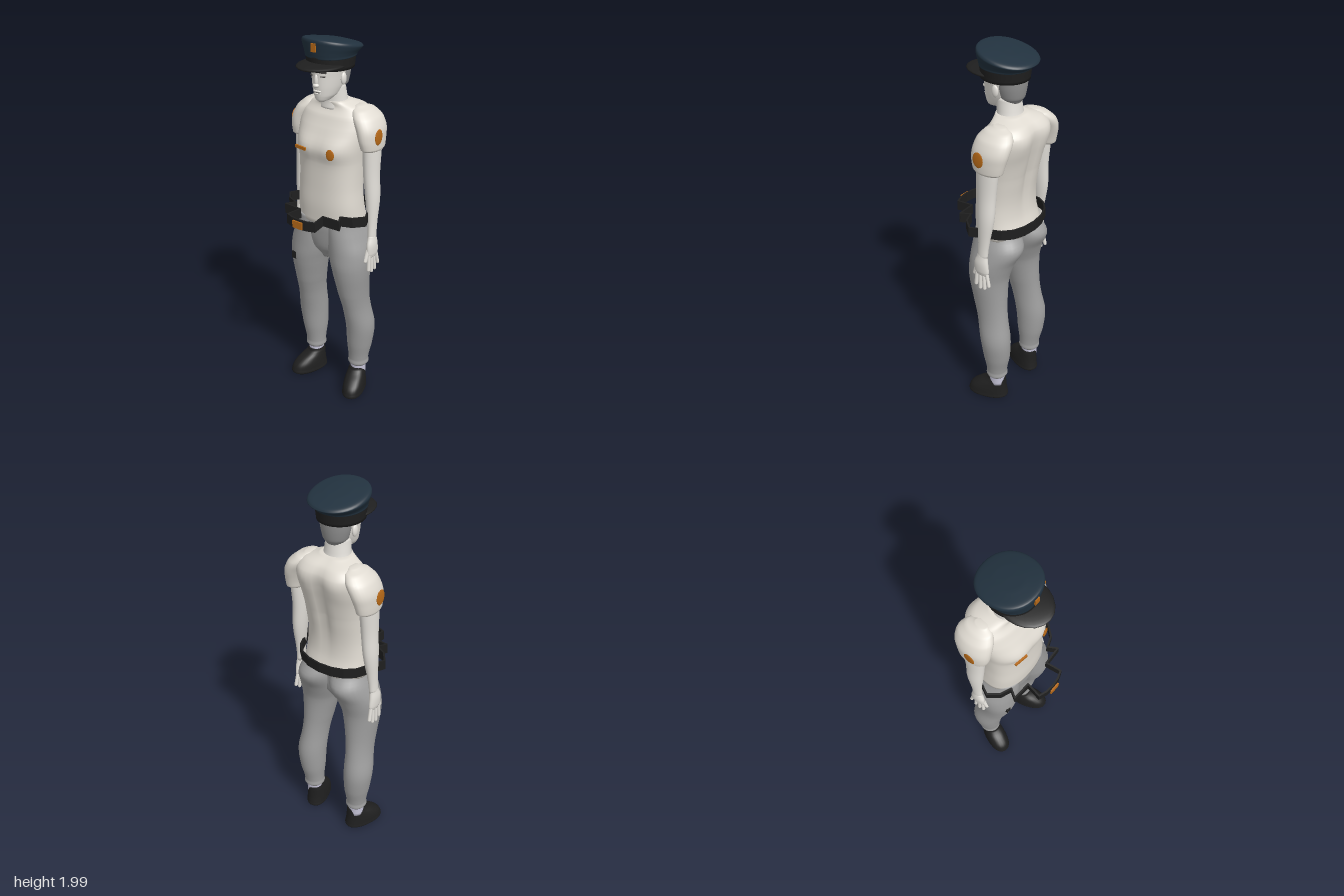
import * as THREE from 'three';

const mat = (name, color) => {
  const m = new THREE.MeshStandardMaterial({ color });
  m.name = name;
  return m;
};

// Smooth interpolation through four neighbouring values
const cubic = (a, b, c, d, t) =>
  b + 0.5 * t * (c - a + t * (2 * a - 5 * b + 4 * c - d + t * (3 * (b - c) + d - a)));

// Solid skin over horizontal sections [y, centreX, centreZ, radiusX, radiusZ], listed upwards
function loft(rings, { segs = 28, steps = 5, power = 2, bend } = {}) {
  const rows = [];
  for (let i = 0; i < rings.length - 1; i++) {
    const q = [-1, 0, 1, 2].map(k => rings[Math.min(Math.max(i + k, 0), rings.length - 1)]);
    for (let s = 0; s < steps; s++) {
      rows.push(q[0].map((_, k) => k === 0
        ? q[1][0] + (q[2][0] - q[1][0]) * s / steps
        : cubic(q[0][k], q[1][k], q[2][k], q[3][k], s / steps)));
    }
  }
  rows.push(rings[rings.length - 1]);
  const pos = [], idx = [];
  const put = (x, y, z) => pos.push(...(bend ? bend(x, y, z) : [x, y, z]));
  const round = v => Math.sign(v) * Math.abs(v) ** (2 / power);
  for (const [y, cx, cz, rx, rz] of rows) {
    for (let j = 0; j < segs; j++) {
      const a = j / segs * Math.PI * 2;
      put(cx + rx * round(Math.cos(a)), y, cz + rz * round(Math.sin(a)));
    }
  }
  const last = rows.length - 1, bottom = rows.length * segs, top = bottom + 1;
  put(rows[0][1], rows[0][0], rows[0][2]);
  put(rows[last][1], rows[last][0], rows[last][2]);
  for (let j = 0; j < segs; j++) {
    const k = (j + 1) % segs;
    for (let i = 0; i < last; i++) {
      const a = i * segs + j, b = i * segs + k;
      idx.push(a, a + segs, b, b, a + segs, b + segs);
    }
    idx.push(bottom, j, k, top, last * segs + k, last * segs + j);
  }
  const g = new THREE.BufferGeometry();
  g.setAttribute('position', new THREE.Float32BufferAttribute(pos, 3));
  g.setIndex(idx);
  g.computeVertexNormals();
  return g;
}

export function createModel() {
  const model = new THREE.Group();
  model.name = 'uniformedMan';
  const skin = mat('skin', 0xe3e0da), shirt = mat('shirt', 0xe0dbd2), trousers = mat('trousers', 0x9e9e9e);
  const black = mat('blackLeather', 0x1f1f1f), navy = mat('navyCloth', 0x22323f), brass = mat('brass', 0xb86a18);
  const sock = mat('sock', 0xc4c2d6), hair = mat('hair', 0x909090), dark = mat('brow', 0x4a4846);

  const add = (name, geo, material, x = 0, y = 0, z = 0, parent = model) => {
    const m = new THREE.Mesh(geo, material);
    m.name = name;
    m.position.set(x, y, z);
    parent.add(m);
    return m;
  };
  const ball = (name, material, p, s, parent) => {
    const m = add(name, new THREE.SphereGeometry(1, 20, 14), material, ...p, parent);
    m.scale.set(...s);
    return m;
  };
  const box = (name, material, p, s) => add(name, new THREE.BoxGeometry(...s), material, ...p);

  // Torso, with chest muscles and a spine groove
  add('shirtBody', loft([
    [1.05, 0, -0.065, 0.183, 0.132], [1.15, 0, -0.05, 0.177, 0.122], [1.25, 0, -0.05, 0.17, 0.12],
    [1.38, 0, -0.06, 0.173, 0.13], [1.46, 0, -0.065, 0.182, 0.142], [1.55, 0, -0.09, 0.192, 0.13],
    [1.61, 0, -0.105, 0.185, 0.115], [1.65, 0, -0.105, 0.145, 0.09], [1.68, 0, -0.075, 0.072, 0.066],
  ], {
    segs: 48, power: 2.4, bend: (x, y, z) => {
      const blob = (cx, cy, w, h) => Math.exp(-(((Math.abs(x) - cx) / w) ** 2) - ((y - cy) / h) ** 2);
      if (z > -0.03) z += 0.012 * blob(0.085, 1.46, 0.06, 0.06);
      else if (z < -0.08) z += 0.022 * blob(0, 1.42, 0.03, 0.2) - 0.016 * blob(0.1, 1.58, 0.06, 0.08);
      return [x, y, z];
    },
  }), shirt);

  // Pelvis joining the legs
  add('trouserFront', loft([
    [0.83, 0, -0.045, 0.03, 0.05], [0.9, 0, -0.045, 0.11, 0.09],
    [1.0, 0, -0.045, 0.17, 0.105], [1.07, 0, -0.05, 0.177, 0.112],
  ]), trousers);

  for (const [side, s] of [['left', 1], ['right', -1]]) {
    const sided = rings => rings.map(([y, x, ...rest]) => [y, x * s, ...rest]);

    // Legs
    add(side + 'TrouserLeg', loft(sided([
      [0.155, 0.15, -0.108, 0.046, 0.046], [0.17, 0.15, -0.108, 0.057, 0.058], [0.2, 0.15, -0.108, 0.055, 0.056],
      [0.3, 0.155, -0.11, 0.068, 0.074], [0.42, 0.16, -0.105, 0.076, 0.085], [0.55, 0.15, -0.08, 0.07, 0.087],
      [0.65, 0.142, -0.06, 0.078, 0.095], [0.8, 0.133, -0.045, 0.1, 0.108], [0.9, 0.118, -0.058, 0.114, 0.123],
      [0.99, 0.1, -0.078, 0.106, 0.141], [1.07, 0.083, -0.06, 0.096, 0.118],
    ])), trousers);
    add(side + 'Sock', loft(sided([[0.1, 0.15, -0.108, 0.042, 0.044], [0.18, 0.15, -0.108, 0.042, 0.044]])), sock);

    // Shoes, toes turned out
    const shoe = add(side + 'Shoe', loft([
      [0, 0, 0, 0.05, 0.098], [0.012, 0, 0, 0.06, 0.112], [0.03, 0, 0, 0.059, 0.11], [0.06, 0, -0.005, 0.057, 0.1],
      [0.09, 0, -0.022, 0.052, 0.08], [0.12, 0, -0.045, 0.045, 0.055], [0.138, 0, -0.05, 0.04, 0.048],
    ], { power: 2.3 }), black, 0.162 * s, 0, -0.057);
    shoe.rotation.y = 0.35 * s;

    // Sleeves and arms
    add(side + 'Sleeve', loft(sided([
      [1.455, 0.211, -0.103, 0.042, 0.07], [1.465, 0.211, -0.103, 0.046, 0.083], [1.51, 0.206, -0.103, 0.052, 0.094],
      [1.56, 0.195, -0.108, 0.059, 0.1], [1.61, 0.17, -0.112, 0.06, 0.095],
      [1.645, 0.145, -0.112, 0.045, 0.07], [1.662, 0.13, -0.11, 0.02, 0.03],
    ])), shirt);
    add(side + 'Arm', loft(sided([
      [0.98, 0.234, -0.085, 0.019, 0.029], [1.06, 0.23, -0.09, 0.022, 0.031], [1.2, 0.222, -0.098, 0.034, 0.045],
      [1.33, 0.212, -0.097, 0.038, 0.05], [1.48, 0.21, -0.1, 0.041, 0.06],
    ])), skin);

    // Hands
    add(side + 'Palm', loft(sided([
      [0.88, 0.24, -0.083, 0.012, 0.036], [0.9, 0.24, -0.083, 0.017, 0.043],
      [0.95, 0.239, -0.08, 0.02, 0.04], [1.0, 0.234, -0.085, 0.018, 0.027],
    ])), skin);
    const finger = (name, from, to, r) => {
      const a = new THREE.Vector3(...from), d = new THREE.Vector3(...to).sub(a);
      const m = add(name, new THREE.CapsuleGeometry(r, d.length(), 4, 10), skin, ...a.clone().addScaledVector(d, 0.5));
      m.quaternion.setFromUnitVectors(new THREE.Vector3(0, 1, 0), d.normalize());
    };
    for (let i = 0; i < 4; i++) {
      finger(side + 'Finger' + (i + 1), [0.24 * s, 0.895, -0.053 - 0.02 * i],
        [0.243 * s, [0.81, 0.795, 0.8, 0.825][i], -0.048 - 0.027 * i], 0.0095);
    }
    finger(side + 'Thumb', [0.236 * s, 0.94, -0.055], [0.232 * s, 0.865, -0.032], 0.011);

    // Shoulder patch
    ball(side + 'ShoulderPatch', brass, [0.258 * s, 1.53, -0.082], [0.005, 0.04, 0.03]);

    // Ears, eyes and brows
    ball(side + 'Ear', skin, [0.077 * s, 1.795, -0.04], [0.011, 0.03, 0.018]);
    const brow = box(side + 'Brow', dark, [0.032 * s, 1.836, 0.063], [0.034, 0.005, 0.008]);
    brow.rotation.y = 0.3 * s;
    const eye = box(side + 'Eye', dark, [0.032 * s, 1.817, 0.062], [0.022, 0.004, 0.008]);
    eye.rotation.y = 0.3 * s;
  }

  // Neck and head
  add('neck', loft([[1.64, 0, -0.075, 0.08, 0.07], [1.68, 0, -0.07, 0.068, 0.062], [1.76, 0, -0.06, 0.06, 0.06]]), skin);
  add('head', loft([
    [1.687, 0, 0.028, 0.016, 0.018], [1.697, 0, 0.012, 0.034, 0.046], [1.72, 0, -0.008, 0.052, 0.072],
    [1.76, 0, -0.025, 0.065, 0.094], [1.81, 0, -0.033, 0.074, 0.104], [1.86, 0, -0.037, 0.08, 0.11], [1.9, 0, -0.04, 0.07, 0.1],
  ]), skin);
  ball('noseBridge', skin, [0, 1.797, 0.069], [0.009, 0.032, 0.012]);
  ball('noseTip', skin, [0, 1.773, 0.073], [0.016, 0.011, 0.014]);
  ball('upperLip', skin, [0, 1.744, 0.064], [0.023, 0.006, 0.009]);
  ball('lowerLip', skin, [0, 1.732, 0.062], [0.02, 0.006, 0.009]);
  box('mouthLine', dark, [0, 1.738, 0.066], [0.032, 0.002, 0.008]);
  add('hairBack', loft([
    [1.735, 0, -0.08, 0.045, 0.045], [1.76, 0, -0.08, 0.062, 0.062],
    [1.81, 0, -0.078, 0.074, 0.073], [1.87, 0, -0.078, 0.079, 0.077],
  ]), hair);

  // Peaked cap, crown tilted up at the front
  add('capBand', loft([[1.845, 0, -0.04, 0.112, 0.12], [1.915, 0, -0.042, 0.118, 0.125]], { segs: 40 }), black);
  add('capCrown', loft([
    [1.9, 0, -0.043, 0.118, 0.125], [1.915, 0, -0.045, 0.122, 0.13], [1.945, 0, -0.053, 0.138, 0.143],
    [1.958, 0, -0.054, 0.138, 0.144], [1.968, 0, -0.054, 0.122, 0.13], [1.977, 0, -0.054, 0.06, 0.07],
    [1.979, 0, -0.054, 0.01, 0.01],
  ], { segs: 40, power: 2.15, bend: (x, y, z) => [x, y + (z + 0.054) * 0.2 * Math.min(1, (y - 1.9) / 0.06), z] }), navy);
  ball('capVisor', black, [0, 1.865, 0.025], [0.113, 0.018, 0.141]);
  box('capBadge', brass, [0, 1.955, 0.091], [0.026, 0.04, 0.009]);

  // Chest badge and bar
  const badge = ball('chestBadge', brass, [0.09, 1.447, 0.082], [0.022, 0.029, 0.005]);
  badge.rotation.y = 0.2;
  const bar = box('chestBar', brass, [-0.09, 1.447, 0.084], [0.072, 0.015, 0.009]);
  bar.rotation.y = -0.15;

  // Belt: straight strips along a stiff folded path [x, z], mirrored
  const half = [[0, 0.215], [0.045, 0.21], [0.085, 0.196], [0.073, 0.115], [0.17, 0.11], [0.143, 0.065],
    [0.2, 0.042], [0.243, -0.01], [0.205, -0.09], [0.175, -0.155], [0.13, -0.195], [0.07, -0.218], [0, -0.226]];
  const belt = new THREE.Group();
  belt.name = 'belt';
  model.add(belt);
  for (const s of [1, -1]) {
    for (let i = 0; i < half.length - 1; i++) {
      const [x0, z0] = half[i], [x1, z1] = half[i + 1];
      const strip = add('beltStrip', new THREE.BoxGeometry(Math.hypot(x1 - x0, z1 - z0) + 0.006, 0.052, 0.009), black,
        s * (x0 + x1) / 2, 1.104, (z0 + z1) / 2, belt);
      strip.rotation.y = -s * Math.atan2(z1 - z0, x1 - x0);
    }
  }
  box('beltBuckle', brass, [0, 1.104, 0.226], [0.058, 0.038, 0.008]);

  // Small pouch on the right thigh
  box('thighPouch', black, [-0.165, 0.81, 0.048], [0.026, 0.04, 0.03]);

  return model;
}
